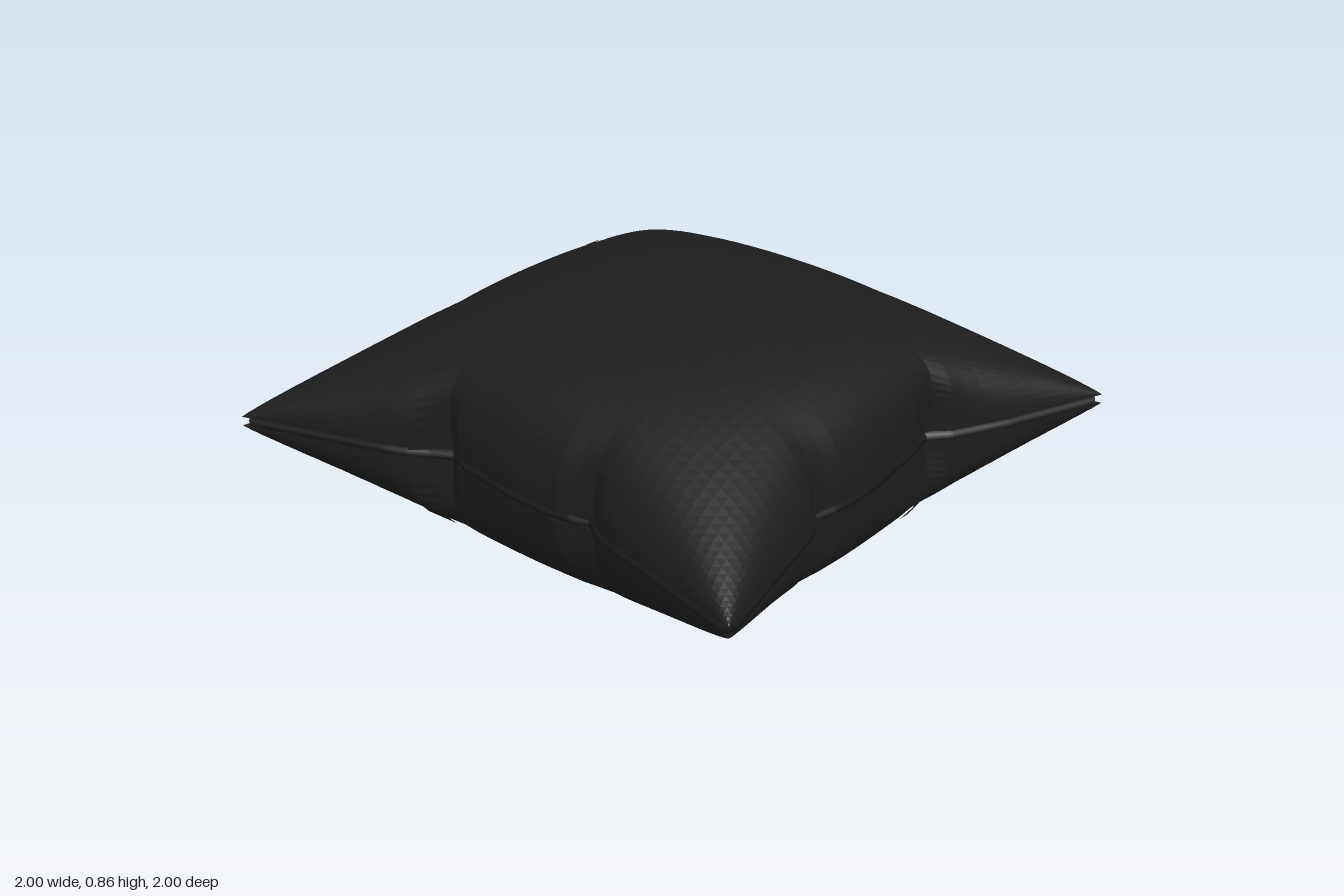
import * as THREE from 'three';

// Corner positions [x, z]
const CORNERS = { bl: [-1, -1], br: [1, -0.96], fl: [-0.98, 1], fr: [0.98, 0.98] };

// Seam outline of each side: [distance along the side, position of the edge], with the pinched tucks
const EDGES = {
  back: [[-1, -1], [-0.52, -0.85], [-0.39, -0.77], [-0.27, -0.81], [0.2, -0.83], [0.31, -0.79], [0.41, -0.84], [1, -0.96]],
  front: [[-0.98, 1], [-0.5, 0.84], [-0.4, 0.79], [-0.32, 0.72], [-0.26, 0.76], [0, 0.8], [0.2, 0.81], [0.3, 0.77], [0.39, 0.83], [0.98, 0.98]],
  right: [[-1, -1], [-0.43, -0.83], [-0.35, -0.78], [-0.22, -0.83], [0.1, -0.82], [0.23, -0.8], [0.32, -0.76], [0.41, -0.83], [1, -0.98]],
  left: [[-0.96, 1], [-0.6, 0.86], [-0.4, 0.76], [-0.34, 0.69], [-0.28, 0.74], [0.05, 0.79], [0.22, 0.79], [0.3, 0.76], [0.39, 0.82], [0.98, 0.98]],
};

const lerp = THREE.MathUtils.lerp;

// How far a side is drawn in at t (-1..1) for a point at the given reach (0 centre, 1 seam):
// the broad curve runs far into the cushion, the tucks stay close to the seam
function drawIn(edge, t, reach) {
  const first = edge[0], last = edge[edge.length - 1];
  const s = (t + 1) / 2;
  const along = lerp(first[0], last[0], s);
  let i = 0;
  while (i < edge.length - 2 && along > edge[i + 1][0]) i++;
  const [a, b] = [edge[i], edge[i + 1]];
  const value = lerp(a[1], b[1], (along - a[0]) / (b[0] - a[0]));
  const total = value - lerp(first[1], last[1], s);
  const broad = -Math.sign(first[1]) * 0.18 * (1 - Math.abs(t) ** 2.3);
  return broad * reach ** 2.8 + (total - broad) * reach ** 8;
}

// Point on the seam sheet for u (across) and v (back to front) in -1..1
function sheet(u, v) {
  const s = (u + 1) / 2, t = (v + 1) / 2;
  const mix = (k) => lerp(
    lerp(CORNERS.bl[k], CORNERS.br[k], s),
    lerp(CORNERS.fl[k], CORNERS.fr[k], s), t);
  const x = mix(0) + drawIn(u < 0 ? EDGES.right : EDGES.left, v, Math.abs(u));
  const z = mix(1) + drawIn(v < 0 ? EDGES.back : EDGES.front, u, Math.abs(v));
  return new THREE.Vector3(x, 0.431 - 0.014 * u + 0.008 * v, z);
}

// Point on the puffed cover; side is 1 for the top and -1 for the bottom
function cover(u, v, side) {
  const puff = Math.max(0, (1 - u * u) * (1 - v * v)) ** 0.46;
  const point = sheet(u, v);
  point.y += side * (0.015 + 0.414 * puff);
  return point;
}

const ease = (t) => Math.sin(t * Math.PI / 2);

// Moves the vertices of a flat grid by a rule and makes a named mesh of it
function shaped(geometry, rule, material, name) {
  const p = geometry.attributes.position;
  for (let i = 0; i < p.count; i++) {
    const point = rule(p.getX(i), p.getY(i), p.getZ(i));
    p.setXYZ(i, point.x, point.y, point.z);
  }
  geometry.computeVertexNormals();
  const mesh = new THREE.Mesh(geometry, material);
  mesh.name = name;
  return mesh;
}

// One puffed half of the cushion
function halfCover(side, material, name) {
  const grid = new THREE.PlaneGeometry(2, 2, 48, 48).rotateX(-side * Math.PI / 2);
  return shaped(grid, (x, y, z) => cover(ease(x), ease(z), side), material, name);
}

// Narrow fold of cloth that wraps over the seam at a tuck; place(t, reach) gives [u, v]
function tuckFold(centre, place, material, name) {
  const grid = new THREE.PlaneGeometry(0.08, 2, 1, 15);
  return shaped(grid, (x, k) => {
    const [u, v] = place(centre + x, 1 - 0.22 * k * k);
    const point = cover(u, v, Math.sign(k));
    const lift = 1 + 0.012 / Math.hypot(point.x, point.z);
    point.x *= lift;
    point.z *= lift;
    return point;
  }, material, name);
}

// Cord that closes the gap between the two halves
function seamCord(material) {
  const points = [];
  const n = 40;
  for (const side of [0, 1, 2, 3]) {
    for (let i = 0; i < n; i++) {
      const t = ease(-1 + 2 * i / n);
      const [u, v] = [[t, -1], [1, t], [-t, 1], [-1, -t]][side];
      const point = sheet(u, v);
      point.x *= 0.986;
      point.z *= 0.986;
      if (!points.length || point.distanceTo(points[points.length - 1]) > 0.004) points.push(point);
    }
  }
  const curve = new THREE.CatmullRomCurve3(points, true, 'catmullrom', 0);
  const mesh = new THREE.Mesh(new THREE.TubeGeometry(curve, 320, 0.019, 6, true), material);
  mesh.name = 'seamCord';
  return mesh;
}

export function createModel() {
  const fabric = new THREE.MeshStandardMaterial({ color: 0x1d1d1d, flatShading: true, side: THREE.DoubleSide });
  fabric.name = 'black fabric';
  const cord = new THREE.MeshStandardMaterial({ color: 0x191919 });
  cord.name = 'dark seam';

  const cushion = new THREE.Group();
  cushion.name = 'cushion';
  cushion.add(
    halfCover(1, fabric, 'topCover'),
    halfCover(-1, fabric, 'bottomCover'),
    seamCord(cord),
    tuckFold(-0.39, (t, reach) => [t, reach], fabric, 'frontFold'),
    tuckFold(-0.45, (t, reach) => [t, -reach], fabric, 'backFold'),
    tuckFold(-0.32, (t, reach) => [reach, t], fabric, 'leftFold'),
    tuckFold(-0.38, (t, reach) => [-reach, t], fabric, 'rightFold'),
  );
  return cushion;
}
